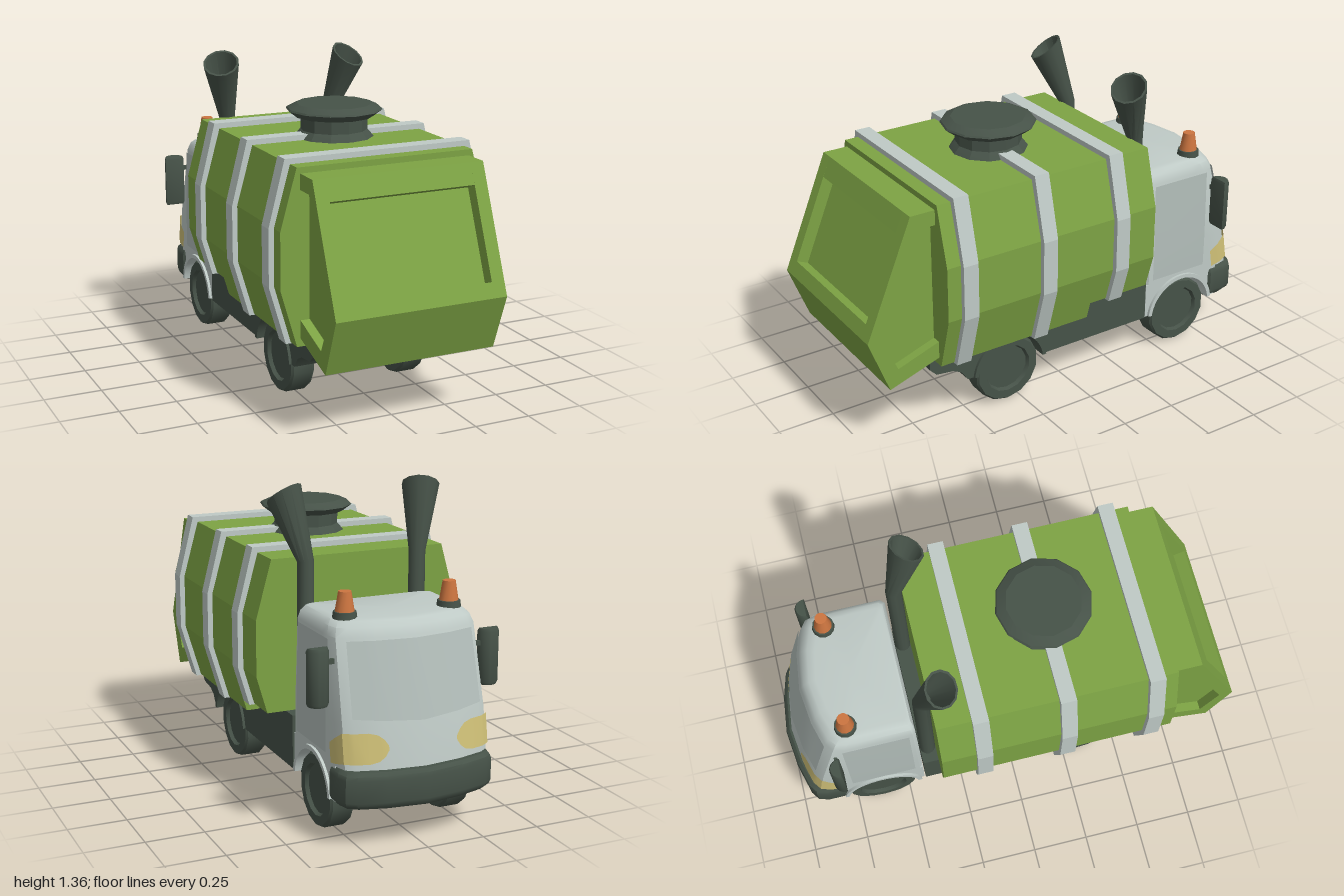
import * as THREE from 'three';
import { toCreasedNormals } from 'three/addons/utils/BufferGeometryUtils.js';

const mat = (name, color, side = THREE.FrontSide) => new THREE.MeshStandardMaterial({ name, color, side });
const V = (x, y, z) => new THREE.Vector3(x, y, z);

// Loft through equal-length loops (counterclockwise about the loft direction), closed at both ends
function loft(rings) {
  const n = rings[0].length, pos = [], idx = [];
  const centre = r => r.reduce((s, p) => s.add(p), V(0, 0, 0)).divideScalar(n);
  const all = [...rings.flat(), centre(rings[0]), centre(rings.at(-1))];
  all.forEach(p => pos.push(p.x, p.y, p.z));
  const c0 = rings.length * n, last = c0 - n;
  for (let i = 0; i < n; i++) {
    const j = (i + 1) % n;
    for (let k = 0; k < last; k += n) idx.push(k + i, k + j, k + n + j, k + i, k + n + j, k + n + i);
    idx.push(j, i, c0, last + i, last + j, c0 + 1);
  }
  return build(pos, idx);
}

// Open surface patch sampled on a grid
function patch(fn, us, vs) {
  const pos = [], idx = [], m = vs.length;
  us.forEach(u => vs.forEach(v => pos.push(...fn(u, v).toArray())));
  for (let i = 0; i < us.length - 1; i++) for (let j = 0; j < m - 1; j++) {
    const a = i * m + j;
    idx.push(a, a + m, a + m + 1, a, a + m + 1, a + 1);
  }
  return build(pos, idx);
}

function build(pos, idx) {
  const g = new THREE.BufferGeometry();
  g.setAttribute('position', new THREE.Float32BufferAttribute(pos, 3));
  g.setIndex(idx);
  return g;
}

const shapeOf = pts => new THREE.Shape(pts.map(p => new THREE.Vector2(...p)));
const extrude = (shape, depth) => new THREE.ExtrudeGeometry(shape, { depth, bevelEnabled: false, curveSegments: 12 });
// Side profile in (z, y), spanning x0 to x1
const slab = (shape, x0, x1) => extrude(shape, x1 - x0).rotateY(-Math.PI / 2).translate(x1, 0, 0);
// Cross-section in (x, y), spanning z0 to z1
const along = (shape, z0, z1) => extrude(shape, z1 - z0).translate(0, 0, z0);

// Cab front plan: [fraction of half width, distance behind the nose]
const PLAN = [[0, 0], [0.5, 0.02], [0.85, 0.052], [0.96, 0.078], [1, 0.125], [1, 0.175]];
const LEVELS = [[0.33, 0.325, -0.972], [0.5, 0.325, -0.945], [0.83, 0.316, -0.862], [0.865, 0.305, -0.845], [0.885, 0.285, -0.82], [0.89, 0.26, -0.79]];

function planLoop(y, w, nose, back) {
  const half = PLAN.map(([f, d]) => V(f * w, y, nose + d));
  const right = [V(w - 0.015, y, back), V(w, y, back - 0.015), ...half.slice(1).reverse()];
  return [...right, half[0], ...right.slice().reverse().map(p => V(-p.x, p.y, p.z))];
}

function cabAt(y) {
  const i = Math.max(0, Math.min(LEVELS.length - 2, LEVELS.findIndex(l => l[0] >= y) - 1));
  const a = LEVELS[i], b = LEVELS[i + 1], t = (y - a[0]) / (b[0] - a[0]);
  return { w: a[1] + (b[1] - a[1]) * t, nose: a[2] + (b[2] - a[2]) * t };
}

// Point just outside the cab front; s counts along PLAN, its sign picks the side
function cabPoint(s, y) {
  const { w, nose } = cabAt(y), q = Math.abs(s), i = Math.min(PLAN.length - 2, Math.floor(q)), t = q - i;
  const f = PLAN[i][0] + (PLAN[i + 1][0] - PLAN[i][0]) * t, d = PLAN[i][1] + (PLAN[i + 1][1] - PLAN[i][1]) * t;
  return V(Math.sign(s) * f * (w + 0.006), y, nose + d - 0.006);
}

function circle(c, normal, r, n = 12) {
  const N = normal.clone().normalize(), u = V(1, 0, 0).addScaledVector(N, -N.x).normalize(), v = N.clone().cross(u);
  return Array.from({ length: n }, (_, i) => {
    const a = i / n * Math.PI * 2;
    return c.clone().addScaledVector(u, r * Math.cos(a)).addScaledVector(v, r * Math.sin(a));
  });
}

// Octagonal tank section, grown by g, cut off at the bottom
function tankShape(g, bottom) {
  const low = 0.39 + 0.07 * (bottom - 0.33) / 0.24 + g;
  const right = [[low, bottom], [0.46 + g, 0.57], [0.46 + g, 0.81], [0.39 + g, 1.06 + g]];
  return shapeOf([...right, ...right.slice().reverse().map(([x, y]) => [-x, y])]);
}

export function createModel() {
  const root = new THREE.Group();
  root.name = 'refuseTruck';
  const green = mat('bodyGreen', 0x7da344), dark = mat('darkTrim', 0x465248), grey = mat('cabGrey', 0xbfcac6);
  const glass = mat('glassGrey', 0xb2bdb9, THREE.DoubleSide), yellow = mat('headlightYellow', 0xcfc077, THREE.DoubleSide);
  const orange = mat('beaconOrange', 0xcc7540);
  const add = (name, geo, material, crease = 0.6) => {
    const m = new THREE.Mesh(toCreasedNormals(geo, crease), material);
    m.name = name;
    root.add(m);
    return m;
  };

  // Tank with raised front underside, and its bands
  add('tankRear', along(tankShape(0, 0.33), -0.05, 0.68), green, 0.2);
  add('tankFront', along(tankShape(0, 0.41), -0.35, -0.05), green, 0.2);
  [[0.55, 0.325], [0.17, 0.325], [-0.2, 0.405]].forEach(([z, b]) =>
    add('tankBand', along(tankShape(0.023, b), z, z + 0.068), grey, 0.2));

  // Tailgate: recessed rear panel, full ribs and raised side frames
  const outer = [[0.68, 1.035], [0.79, 1.035], [1, 0.53], [0.91, 0.29], [0.68, 0.365]];
  const notched = outer.slice();
  notched.splice(2, 0, [0.825, 0.95], [0.775, 0.929], [0.925, 0.569], [0.975, 0.59]);
  const frame = [...outer, [0.68, 0.44], [0.87, 0.375], [0.94, 0.53], [0.76, 0.97], [0.68, 0.97]];
  add('tailgatePanel', slab(shapeOf(notched), -0.318, 0.318), green, 0.2);
  for (const s of [-1, 1]) {
    const span = (a, b) => s > 0 ? [a, b] : [-b, -a];
    add('tailgateRib', slab(shapeOf(outer), ...span(0.318, 0.335)), green, 0.2);
    add('tailgateSideFrame', slab(shapeOf(frame), ...span(0.335, 0.375)), green, 0.2);
  }

  // Filler hatch on the tank top
  const hatch = [[0, 1.05], [0.175, 1.05], [0.165, 1.065], [0.142, 1.09], [0.142, 1.145], [0.168, 1.147], [0.205, 1.175], [0.2, 1.182], [0.16, 1.2], [0, 1.2]];
  add('hatch', new THREE.LatheGeometry(hatch.map(p => new THREE.Vector2(...p)), 12).translate(0, 0, 0.2), dark, 0.3);

  // Chassis: plain centre, side rails with wheel arches
  const tail = [[0.7, 0.33], [0.7, 0.285], [0.67, 0.255], [0.59, 0.245], [0.55, 0.225], [0.52, 0.18]];
  const nose = [[-0.42, 0.18], [-0.42, 0.41], [-0.05, 0.41], [-0.05, 0.33]];
  add('chassisCentre', slab(shapeOf([...tail, ...nose]), -0.2, 0.2), dark);
  const rail = shapeOf(tail);
  rail.absarc(0.31, 0.16, 0.165, 0.12, Math.PI - 0.12, false);
  nose.forEach(p => rail.lineTo(...p));
  const skirt = shapeOf([[-0.425, 0.34], [-0.425, 0.18]]);
  skirt.absarc(-0.62, 0.16, 0.165, 0.12, Math.PI - 0.12, false);
  skirt.lineTo(-0.83, 0.18);
  skirt.lineTo(-0.83, 0.34);
  const lip = z => {
    const s = new THREE.Shape();
    s.absarc(z, 0.16, 0.183, 0.12, Math.PI - 0.12, false);
    s.absarc(z, 0.16, 0.165, Math.PI - 0.12, 0.12, true);
    return s;
  };

  // Cab shell, windscreen and bumper
  add('cab', loft(LEVELS.map(([y, w, f]) => planLoop(y, w, f, -0.425 - (0.325 - w) * 0.4))), grey);
  const steps = (a, b, d) => Array.from({ length: Math.round((b - a) / d) + 1 }, (_, i) => a + i * d);
  add('windscreen', patch((s, v) => cabPoint(s, v ? 0.82 : 0.53 - 0.02 * (1 - Math.abs(s) / 2)), steps(-2, 2, 0.5), [0, 1]), glass);
  const bumper = [[0.175, 0.318, -0.982], [0.19, 0.33, -0.996], [0.205, 0.335, -1], [0.295, 0.335, -1], [0.312, 0.33, -0.996], [0.325, 0.318, -0.982]];
  add('bumper', loft(bumper.map(([y, w, f]) => planLoop(y, w, f, -0.785))), dark);

  for (const s of [-1, 1]) {
    const span = (a, b) => s > 0 ? [a, b] : [-b, -a];
    add('chassisRail', slab(rail, ...span(0.2, 0.33)), dark);
    add('cabSkirt', slab(skirt, ...span(0.21, 0.325)), grey);
    add('rearWheelLip', slab(lip(0.31), ...span(0.3, 0.342)), dark);
    add('frontWheelLip', slab(lip(-0.62), ...span(0.3, 0.337)), grey);

    // Headlight wrapping the cab corner, rounded at its inner end
    add('headlight', patch((q, v) => {
      const round = Math.min(1, Math.sqrt(Math.max(0, q - 0.9) / 0.6) + 0.15);
      const mid = q < 3 ? 0.415 : 0.415 - (q - 3) * 0.02, h = (q < 3 ? 0.06 : 0.06 - (q - 3) * 0.01) * round;
      return cabPoint(s * q, mid + v * h);
    }, [0.9, 1, 1.2, 1.5, 2, 2.5, 3, 3.5, 4, 4.5, 5], [-1, 1]), yellow);

    // Door panel
    add('doorWindow', patch((z, y) => V(s * (cabAt(y).w + 0.005), y, z), [-0.46, -0.75], [0.36, 0.5, 0.82]), glass);

    // Mirror with a rounded front
    const d = new THREE.Shape();
    d.absellipse(0, 0, 0.04, 0.04, 0, Math.PI, false);
    const mirror = add('mirror', new THREE.ExtrudeGeometry(d, { depth: 0.21, bevelEnabled: true, bevelSize: 0.005, bevelThickness: 0.012, bevelSegments: 1, curveSegments: 8 }).rotateX(-Math.PI / 2), dark);
    mirror.position.set(s * 0.376, 0.577, -0.775);
    add('mirrorArm', new THREE.BoxGeometry(0.05, 0.02, 0.015), dark).position.set(s * 0.335, 0.74, -0.785);

    // Roof beacon
    add('beaconBase', new THREE.CylinderGeometry(0.046, 0.05, 0.03, 12), dark).position.set(s * 0.23, 0.898, -0.71);
    add('beacon', new THREE.CylinderGeometry(0.026, 0.04, 0.085, 12), orange).position.set(s * 0.23, 0.95, -0.71);

    // Exhaust stack with a slanted hollow horn
    const up = V(0, 1, 0), bend = V(s * 0.12, 1, 0.15), mouth = V(s * 0.3, 0.8, 0.52), end = V(s * 0.312, 1.315, -0.3), x = s * 0.255;
    add('exhaust', loft([
      circle(V(x, 0.4, -0.385), up, 0.035), circle(V(x, 1.05, -0.385), bend, 0.035),
      circle(end, mouth, 0.08), circle(end, mouth, 0.07), circle(V(s * 0.265, 1.1, -0.37), bend, 0.028),
    ]), dark);

    // Wheels with a sunken hub
    for (const z of [0.31, -0.62]) {
      const prof = [[0, -0.052], [0.148, -0.052], [0.156, -0.042], [0.156, 0.042], [0.148, 0.052], [0.11, 0.052], [0.102, 0.036], [0, 0.036]];
      const g = new THREE.LatheGeometry(prof.map(p => new THREE.Vector2(...p)), 14).rotateY(Math.PI / 14).rotateZ(-s * Math.PI / 2);
      add('wheel', g, dark).position.set(s * 0.264, 0.155, z);
    }
  }
  return root;
}
